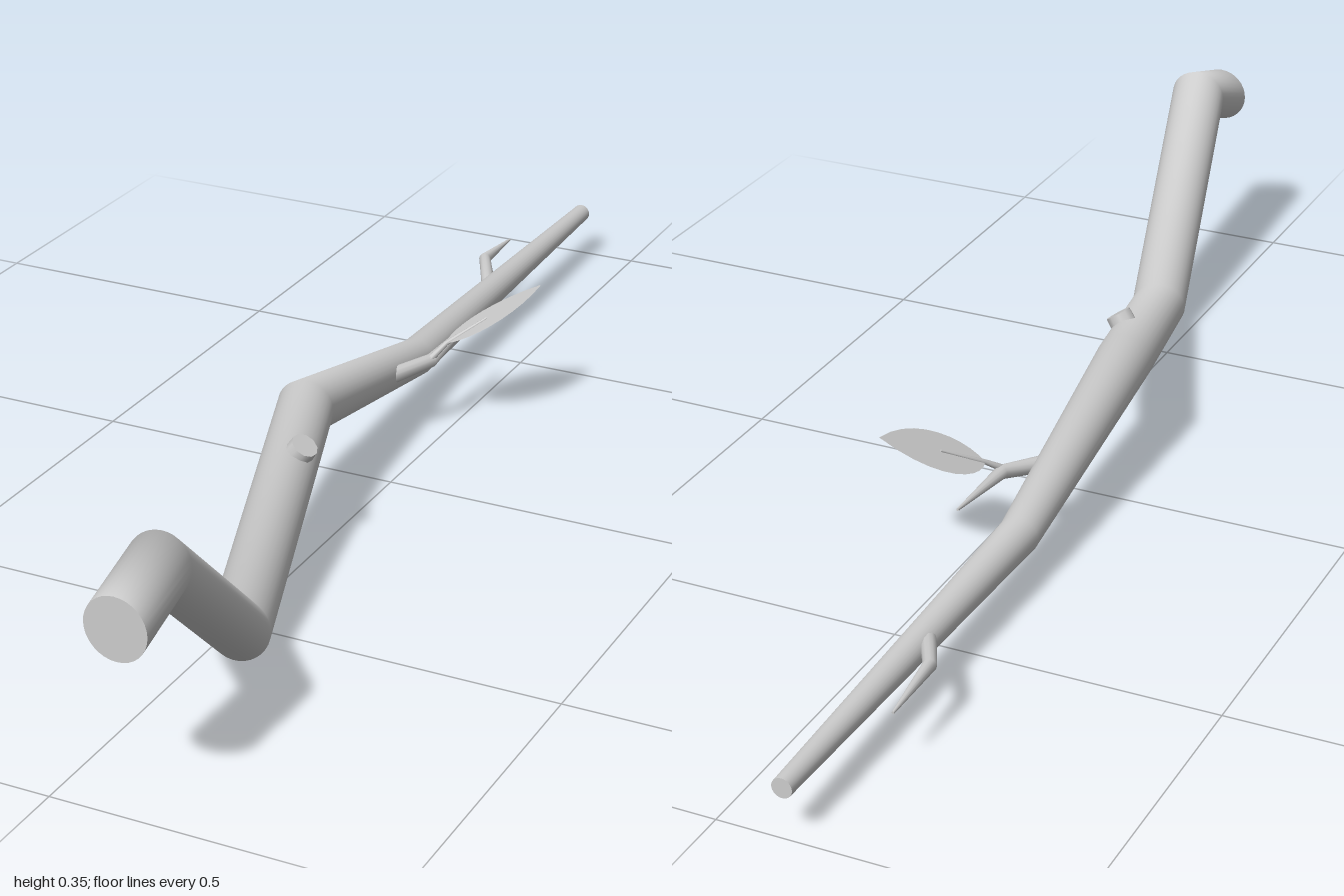
import * as THREE from 'three';

const material = new THREE.MeshStandardMaterial({ color: 0xcccccc });
const leafMaterial = new THREE.MeshStandardMaterial({ color: 0xcccccc, side: THREE.DoubleSide });

// Tapered limb through stations [x, y, z, radius], mitred at every bend and capped at both ends.
function limb(name, stations, sides = 12, endAxis = null) {
  const points = stations.map(([x, y, z]) => new THREE.Vector3(x, y, z));
  const last = points.length - 1;
  const positions = [];
  const index = [];
  const step = (i) => points[i + 1].clone().sub(points[i]).normalize();

  const rings = points.map((p, i) => {
    const axis = new THREE.Vector3();
    if (i > 0) axis.add(step(i - 1));
    if (i < last) axis.add(step(i));
    if (endAxis && (i === 0 || i === last)) axis.copy(endAxis);
    axis.normalize();
    const u = new THREE.Vector3(0, 1, 0).cross(axis).normalize();
    const v = axis.clone().cross(u);
    return Array.from({ length: sides }, (_, k) => {
      const a = (k / sides) * Math.PI * 2;
      return p.clone()
        .addScaledVector(u, Math.cos(a) * stations[i][3])
        .addScaledVector(v, Math.sin(a) * stations[i][3]);
    });
  });

  rings.forEach((ring) => ring.forEach((p) => positions.push(...p)));
  for (let i = 0; i < last; i++) {
    for (let k = 0; k < sides; k++) {
      const a = i * sides + k, b = i * sides + ((k + 1) % sides);
      index.push(a, b, b + sides, a, b + sides, a + sides);
    }
  }

  // End caps with their own vertices, so the rims stay sharp
  for (const i of [0, last]) {
    const centre = positions.length / 3;
    positions.push(...points[i]);
    rings[i].forEach((p) => positions.push(...p));
    for (let k = 0; k < sides; k++) {
      const a = centre + 1 + k, b = centre + 1 + ((k + 1) % sides);
      if (i === 0) index.push(centre, b, a);
      else index.push(centre, a, b);
    }
  }

  const geometry = new THREE.BufferGeometry();
  geometry.setAttribute('position', new THREE.Float32BufferAttribute(positions, 3));
  geometry.setIndex(index);
  geometry.computeVertexNormals();
  const mesh = new THREE.Mesh(geometry, material);
  mesh.name = name;
  return mesh;
}

// Flat pointed leaf running from base to tip, spread along the given width direction
function leaf(base, tip, across, halfWidth) {
  const along = tip.clone().sub(base);
  const length = along.length();
  along.normalize();
  const normal = across.clone().cross(along).normalize();
  const side = along.clone().cross(normal);

  const outline = new THREE.Shape();
  outline.moveTo(0, 0);
  outline.bezierCurveTo(halfWidth * 0.9, length * 0.1, halfWidth * 1.5, length * 0.55, 0, length);
  outline.bezierCurveTo(-halfWidth * 1.5, length * 0.55, -halfWidth * 0.9, length * 0.1, 0, 0);

  const mesh = new THREE.Mesh(new THREE.ShapeGeometry(outline, 10), leafMaterial);
  mesh.name = 'leaf';
  mesh.applyMatrix4(new THREE.Matrix4().makeBasis(side, along, side.clone().cross(along)).setPosition(base));
  return mesh;
}

export function createModel() {
  const group = new THREE.Group();
  group.name = 'branch';

  // Main crooked stem, thick end at the front
  group.add(limb('mainStem', [
    [0.11, 0.273, 1, 0.046],
    [0.11, 0.31, 0.89, 0.046],
    [0.05, 0.045, 0.58, 0.045],
    [-0.079, 0.169, 0.13, 0.044],
    [-0.096, 0.078, -0.29, 0.031],
    [-0.1, 0.078, -1, 0.015],
  ], 32, new THREE.Vector3(0, 0, -1)));

  // Cut stub on top of the stem
  group.add(limb('cutStub', [
    [-0.042, 0.132, 0.26, 0.023],
    [-0.01, 0.178, 0.265, 0.021],
  ], 10));

  // Forked twig carrying the leaf
  group.add(limb('leafTwig', [
    [-0.08, 0.11, -0.11, 0.014],
    [-0.026, 0.122, -0.2, 0.011],
    [-0.025, 0.131, -0.345, 0.002],
  ]));
  group.add(limb('leafStalk', [
    [-0.028, 0.122, -0.19, 0.006],
    [-0.01, 0.146, -0.222, 0.004],
    [0.037, 0.179, -0.273, 0.002],
  ], 8));
  group.add(leaf(
    new THREE.Vector3(-0.01, 0.146, -0.222),
    new THREE.Vector3(0.1, 0.221, -0.345),
    new THREE.Vector3(0.7, 0.27, 0.66),
    0.052,
  ));

  // Small bent twig near the thin end
  group.add(limb('bareTwig', [
    [-0.105, 0.082, -0.6, 0.012],
    [-0.151, 0.095, -0.685, 0.01],
    [-0.155, 0.088, -0.8, 0.002],
  ]));

  return group;
}
